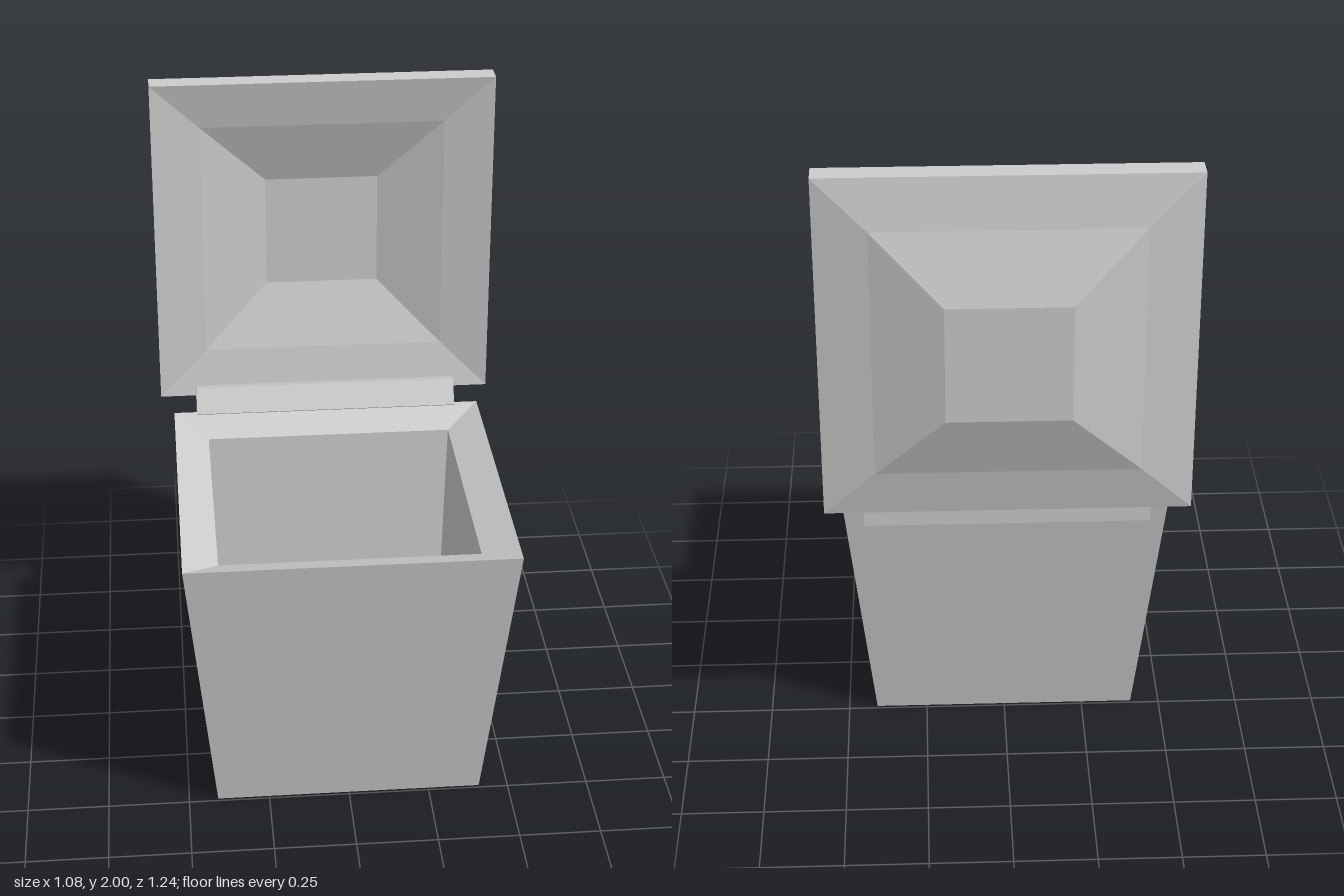
import * as THREE from 'three';

// Skin a chain of rectangular rings [x0, x1, z0, z1, y], closed at both ends.
function loftRects(rings) {
  const pos = [];
  const corners = ([x0, x1, z0, z1, y]) => [[x0, y, z1], [x1, y, z1], [x1, y, z0], [x0, y, z0]];
  const quad = (a, b, c, d) => [a, b, c, a, c, d].forEach((p) => pos.push(...p));
  const loops = rings.map(corners);
  for (let i = 0; i < loops.length - 1; i++) {
    const a = loops[i], b = loops[i + 1];
    for (let k = 0; k < 4; k++) {
      const n = (k + 1) % 4;
      quad(a[k], a[n], b[n], b[k]);
    }
  }
  quad(...loops[0].slice().reverse());
  quad(...loops[loops.length - 1]);
  const geo = new THREE.BufferGeometry();
  geo.setAttribute('position', new THREE.Float32BufferAttribute(pos, 3));
  geo.computeVertexNormals();
  return geo;
}

export function createModel() {
  const group = new THREE.Group();
  const grey = new THREE.MeshStandardMaterial({ color: 0xcccccc, flatShading: true });
  grey.name = 'light grey';

  const add = (name, geo) => {
    const mesh = new THREE.Mesh(geo, grey);
    mesh.name = name;
    group.add(mesh);
    return mesh;
  };

  // Tapered box: outer wall, bevelled rim, inner wall, floor
  add('box', loftRects([
    [-0.41, 0.41, -0.24, 0.49, 0],
    [-0.497, 0.497, -0.377, 0.62, 0.91],
    [-0.39, 0.39, -0.27, 0.51, 0.865],
    [-0.365, 0.365, -0.24, 0.485, 0.06],
  ]));

  // Hollow domed lid, standing open; rings run from the dome top round to the inside
  const lidRing = (hx, hz, y) => [-hx, hx, -hz, hz, y];
  const lid = add('lid', loftRects([
    lidRing(0.18, 0.18, -0.62),
    lidRing(0.385, 0.385, -0.555),
    lidRing(0.538, 0.535, -0.527),
    lidRing(0.538, 0.535, -0.458),
    lidRing(0.385, 0.385, -0.487),
    lidRing(0.18, 0.18, -0.553),
  ]));
  lid.rotation.x = Math.PI / 2;
  lid.position.y = 1.465;

  // Five-sided hinge bar
  const hinge = add('hinge', new THREE.CylinderGeometry(0.074, 0.074, 0.845, 5));
  hinge.rotation.z = Math.PI / 2;
  hinge.position.set(0, 0.908, -0.438);

  return group;
}
